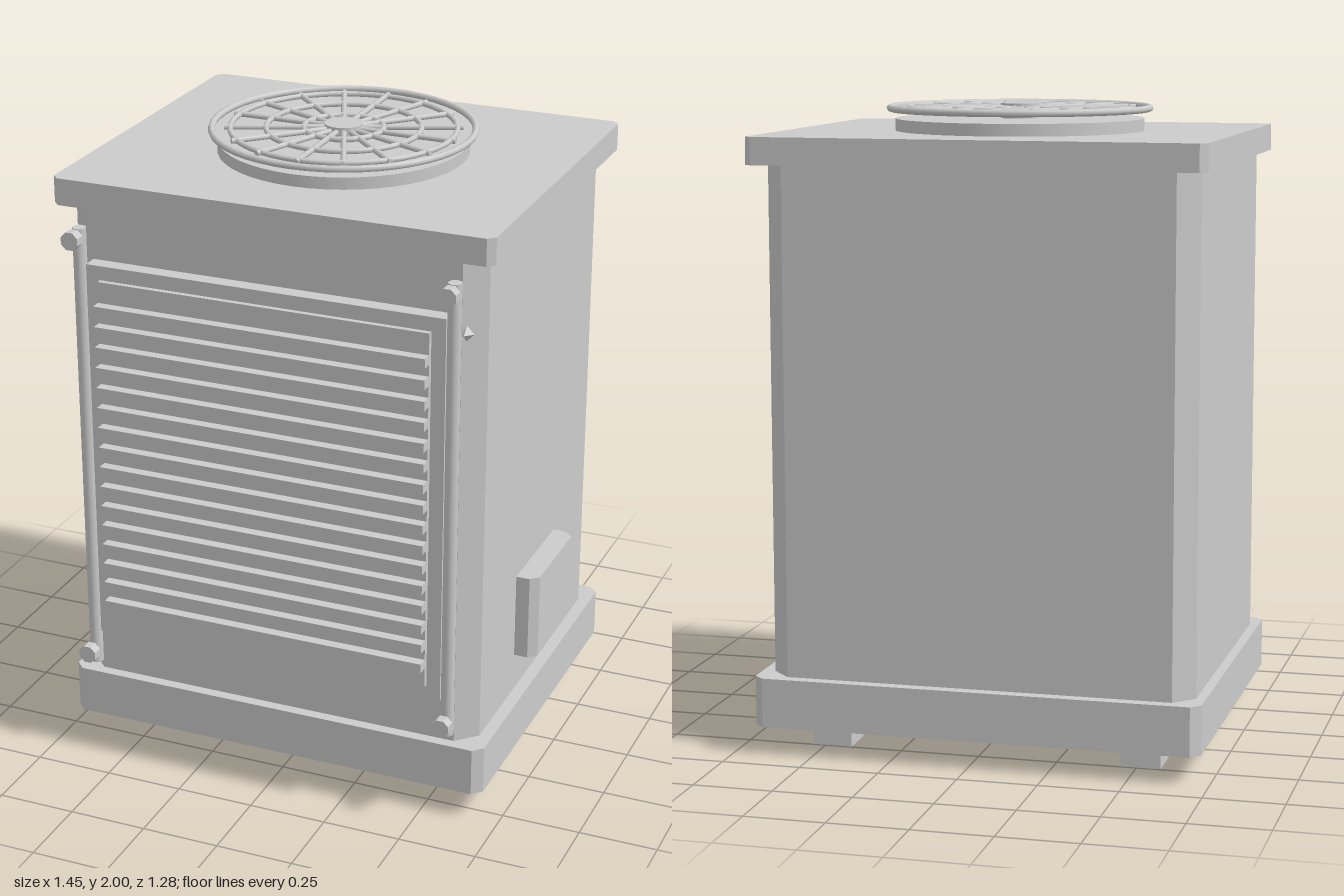
import * as THREE from 'three';

const mat = new THREE.MeshStandardMaterial({ color: 0xcccccc });
const flat = new THREE.MeshStandardMaterial({ color: 0xcccccc, flatShading: true });

export function createModel() {
  const root = new THREE.Group();
  root.name = 'airConditionerUnit';

  function add(parent, name, geo, x = 0, y = 0, z = 0, material = flat) {
    const m = new THREE.Mesh(geo, material);
    m.name = name;
    m.position.set(x, y, z);
    parent.add(m);
    return m;
  }
  function group(name, x = 0, y = 0, z = 0) {
    const g = new THREE.Group();
    g.name = name;
    g.position.set(x, y, z);
    root.add(g);
    return g;
  }
  // Box given by its limits
  function box(parent, name, [x0, x1], [y0, y1], [z0, z1]) {
    return add(parent, name, new THREE.BoxGeometry(x1 - x0, y1 - y0, z1 - z0),
      (x0 + x1) / 2, (y0 + y1) / 2, (z0 + z1) / 2);
  }
  // Upright block whose four vertical corners are cut by c
  function block(name, [x0, x1], [y0, y1], [z0, z1], c) {
    const s = new THREE.Shape([
      [x0 + c, -z1], [x1 - c, -z1], [x1, -z1 + c], [x1, -z0 - c],
      [x1 - c, -z0], [x0 + c, -z0], [x0, -z0 - c], [x0, -z1 + c],
    ].map(([a, b]) => new THREE.Vector2(a, b)));
    const geo = new THREE.ExtrudeGeometry(s, { depth: y1 - y0, bevelEnabled: false });
    return add(root, name, geo.rotateX(-Math.PI / 2), 0, y0, 0);
  }

  // Cabinet
  block('base', [-0.72, 0.69], [0.085, 0.24], [-0.635, 0.55], 0.03);
  block('body', [-0.69, 0.65], [0.24, 1.83], [-0.597, 0.515], 0.062);
  block('lid', [-0.725, 0.692], [1.83, 1.915], [-0.642, 0.548], 0.022);
  block('sideBox', [0.6, 0.72], [0.365, 0.645], [-0.225, 0.138], 0.026);

  // Feet
  for (const x of [-0.575, 0.415])
    for (const z of [-0.495, 0.288])
      box(root, 'foot', [x, x + 0.125], [0, 0.085], [z, z + 0.122]);

  // Louvred front panel
  const panel = group('frontPanel');
  box(panel, 'panelFrame', [-0.6, 0.563], [0.41, 1.665], [0.527, 0.577]);
  box(panel, 'panelPlate', [-0.555, 0.518], [0.455, 1.62], [0.577, 0.594]);
  for (let i = 0; i < 16; i++) {
    const y = 0.537 + i * 0.0667;
    box(panel, 'louvre', [-0.555, 0.518], [y - 0.015, y + 0.015], [0.594, 0.627]);
  }

  // Upright rails with a bolt head near each end
  for (const x of [-0.62, 0.587]) {
    add(root, 'rail', new THREE.CylinderGeometry(0.021, 0.021, 1.48, 12), x, 1.04, 0.574, mat);
    for (const y of [0.35, 1.755])
      add(root, 'bolt', new THREE.CylinderGeometry(0.03, 0.03, 0.034, 8, 1, false, Math.PI / 8)
        .rotateX(Math.PI / 2), x, y, 0.623);
  }
  add(root, 'latchPin', new THREE.OctahedronGeometry(0.024), 0.6, 1.6, 0.505);

  // Fan collar and guard
  const fan = group('fan', -0.018, 0, -0.049);
  add(fan, 'collar', new THREE.CylinderGeometry(0.392, 0.392, 0.04, 48), 0, 1.933, 0, mat);
  for (const [r, t] of [[0.409, 0.011], [0.352, 0.009], [0.241, 0.009], [0.124, 0.009]])
    add(fan, 'guardRing', new THREE.TorusGeometry(r, t, 8, 48).rotateX(Math.PI / 2), 0, 1.985, 0, mat);
  for (let i = 0; i < 16; i++) {
    const spoke = add(fan, 'spoke', new THREE.CylinderGeometry(0.009, 0.009, 0.33, 8)
      .rotateZ(Math.PI / 2).translate(0.205, 0, 0), 0, 1.985, 0, mat);
    spoke.rotation.y = i * Math.PI / 8;
  }
  add(fan, 'hub', new THREE.CylinderGeometry(0.06, 0.06, 0.047, 24), 0, 1.9765, 0, mat);

  return root;
}
